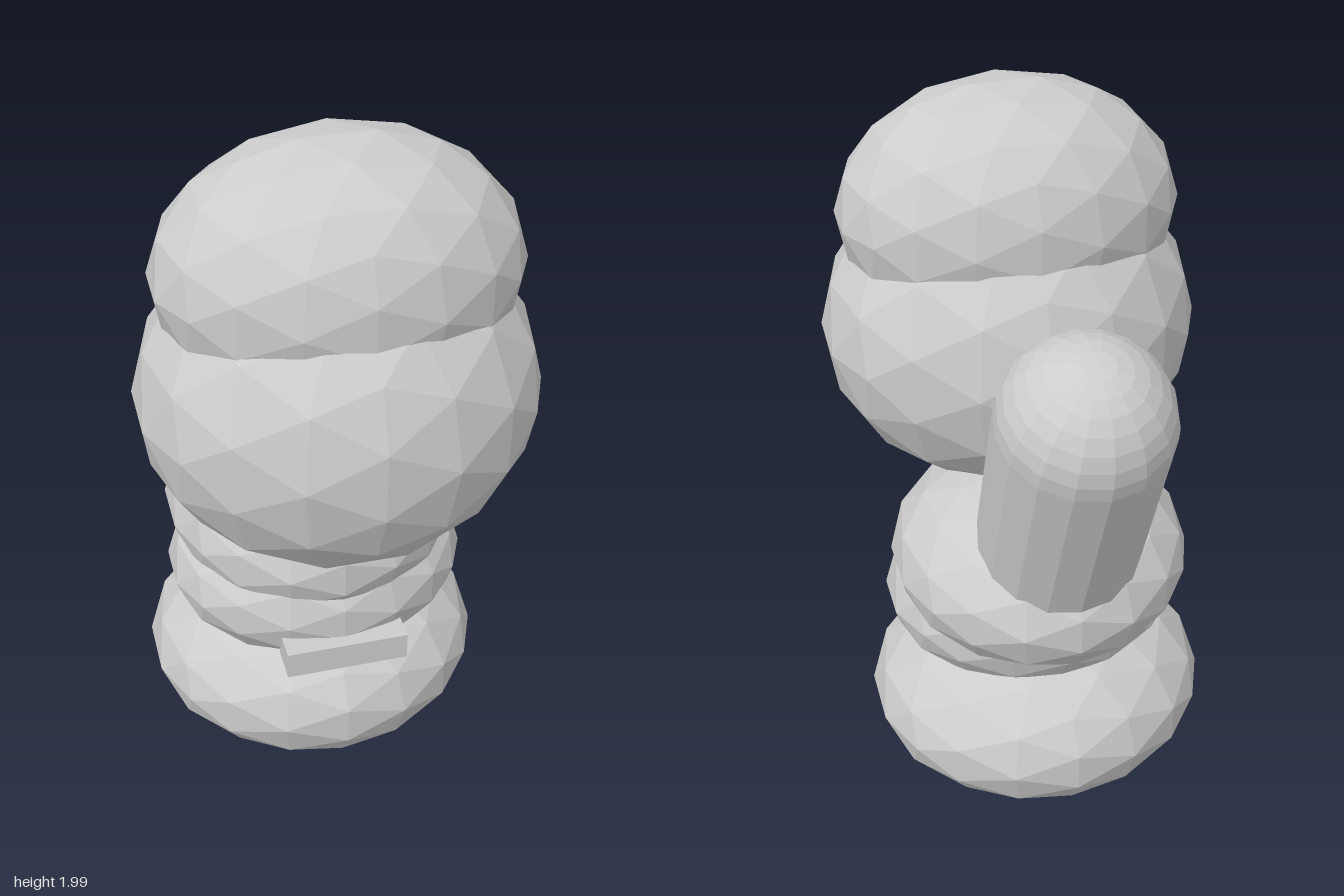
import * as THREE from 'three';

export function createModel() {
  const model = new THREE.Group();
  const grey = new THREE.MeshStandardMaterial({ color: 0xcccccc, flatShading: true });
  grey.name = 'light grey';

  function add(name, geometry, x, y, z) {
    const mesh = new THREE.Mesh(geometry, grey);
    mesh.name = name;
    mesh.position.set(x, y, z);
    model.add(mesh);
    return mesh;
  }

  // Faceted, squashed ball; half sizes are measured to the flat edges
  function ball(name, y, z, rx, ry, rz) {
    const geometry = new THREE.IcosahedronGeometry(1 / 0.984, 2);
    geometry.scale(rx, ry, rz);
    return add(name, geometry, 0, y, z);
  }

  // Stacked body
  ball('base', 0.285, -0.04, 0.475, 0.28, 0.447);
  ball('waist', 0.62, 0, 0.415, 0.25, 0.353);
  ball('chest', 0.78, -0.067, 0.402, 0.26, 0.42);

  // Head with its cap of hair
  ball('head', 1.335, 0.243, 0.503, 0.447, 0.447);
  ball('hair', 1.67, 0.24, 0.448, 0.33, 0.337);

  // Tail: a capsule leaning backwards, its lower end sunk in the body
  const radius = 0.22, length = 0.8, lean = 0.39;
  const tail = add('tail', new THREE.CapsuleGeometry(radius, length, 8, 16), 0,
    1.43 - Math.cos(lean) * length / 2, -0.47 + Math.sin(lean) * length / 2);
  tail.rotation.x = -lean;

  // Small bar across the front of the waist
  add('frontBar', new THREE.BoxGeometry(0.335, 0.08, 0.1), 0, 0.54, 0.337);

  return model;
}
